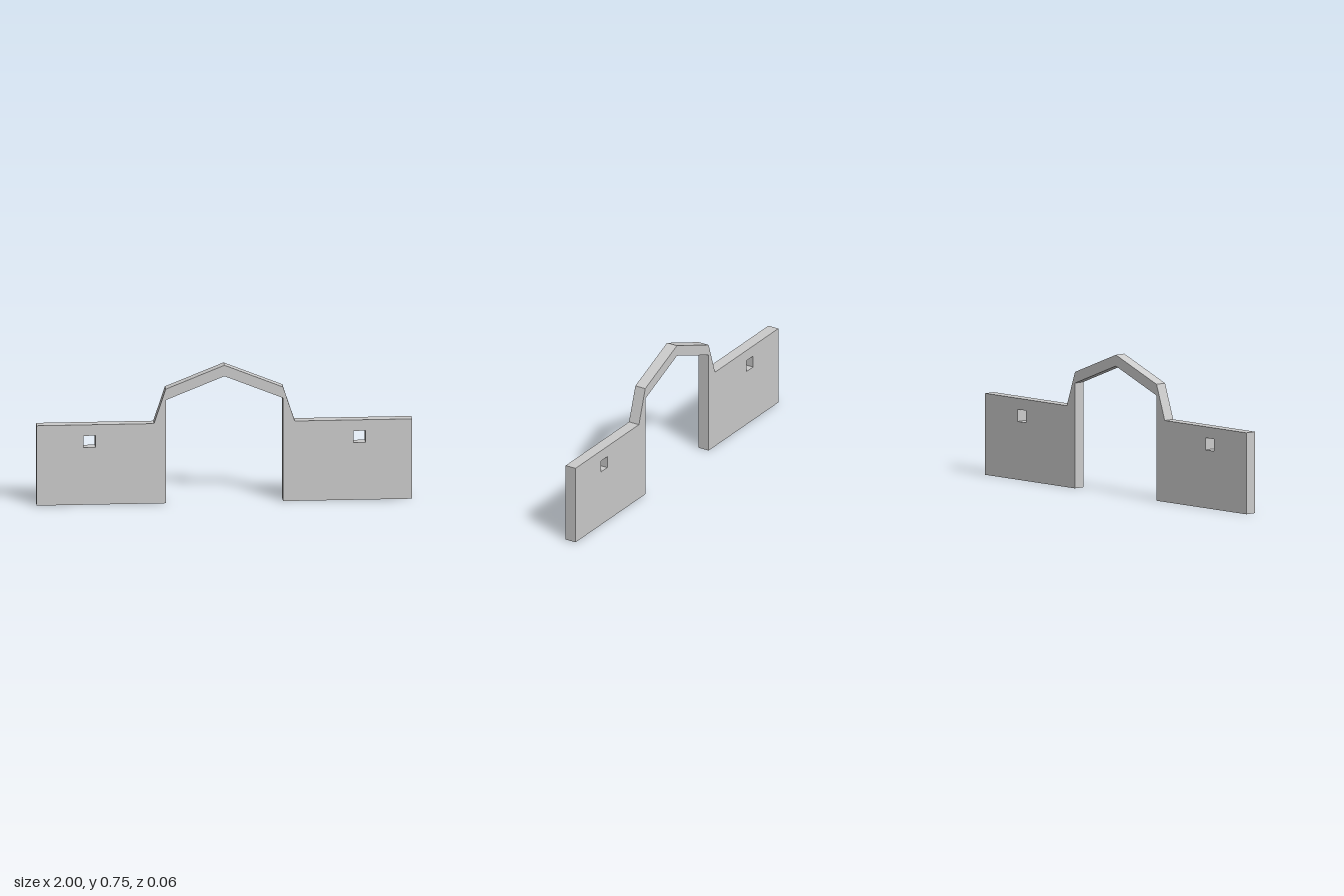
import * as THREE from 'three';

const DEPTH = 0.0625;

// Right half of the outline, from the inner foot around to the inner apex
const half = [
  [0.3125, 0], [1, 0], [1, 0.4375], [0.375, 0.4375],
  [0.3125, 0.625], [0, 0.75],
];
const inner = [[0, 0.69], [0.3125, 0.565]];

const mirror = (pts) => pts.map(([x, y]) => [-x, y]).reverse();
const toVectors = (pts) => pts.map(([x, y]) => new THREE.Vector2(x, y));

export function createModel() {
  const group = new THREE.Group();
  group.name = 'gatewayWall';

  // Two wall panels joined by a gabled arch over the opening
  const outline = new THREE.Shape(toVectors([
    ...half, ...mirror(half).slice(1), [-0.3125, 0.565], ...inner,
  ]));

  // Small square window through each panel
  for (const side of [-1, 1]) {
    const x = side * 0.719, y = 0.345, r = 0.0325;
    outline.holes.push(new THREE.Path(toVectors([
      [x - r, y - r], [x - r, y + r], [x + r, y + r], [x + r, y - r],
    ])));
  }

  const geometry = new THREE.ExtrudeGeometry(outline, { depth: DEPTH, bevelEnabled: false });
  geometry.translate(0, 0, -DEPTH / 2);

  const wall = new THREE.Mesh(
    geometry,
    new THREE.MeshStandardMaterial({ color: 0xcccccc, flatShading: true }),
  );
  wall.name = 'wallWithArch';
  group.add(wall);
  return group;
}
